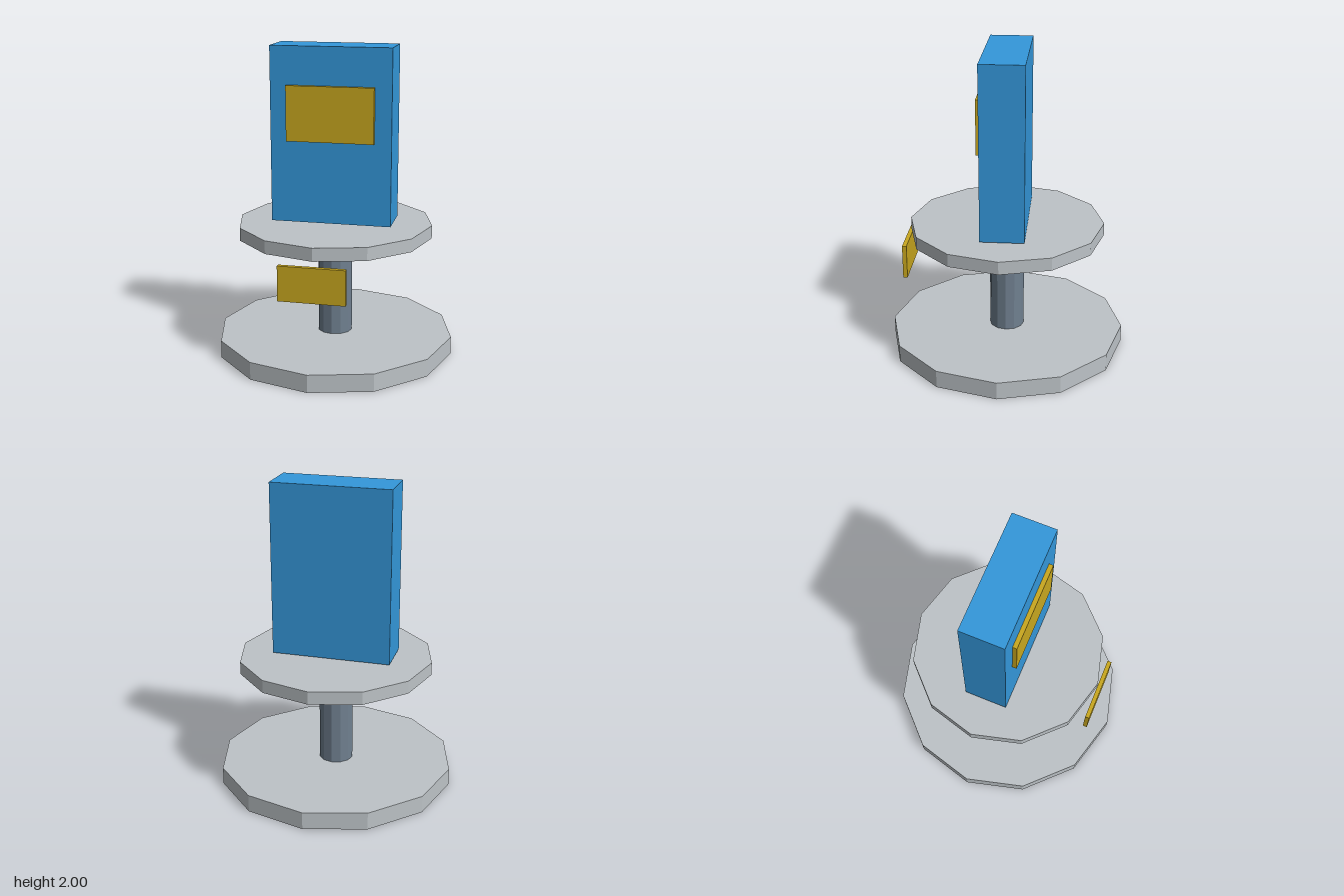
import * as THREE from 'three';

export function createModel() {
  const model = new THREE.Group();
  const material = (name, color) => {
    const m = new THREE.MeshStandardMaterial({ color });
    m.name = name;
    return m;
  };
  const paleGrey = material('pale grey', 0xbdc3c7);
  const slate = material('slate grey', 0x708090);
  const blue = material('blue', 0x3498db);
  const gold = material('gold', 0xc9a81f);

  const add = (name, geometry, mat, y, z = 0) => {
    const mesh = new THREE.Mesh(geometry, mat);
    mesh.name = name;
    mesh.position.set(0, y, z);
    model.add(mesh);
  };

  // Twelve-sided prism between two heights, with flat facets
  const disc = (name, radius, y0, y1, mat) => {
    const geometry = new THREE.CylinderGeometry(radius, radius, y1 - y0, 12).toNonIndexed();
    geometry.computeVertexNormals();
    add(name, geometry, mat, (y0 + y1) / 2);
  };

  // Box centred on x, given by width and its y and z ranges
  const block = (name, width, y0, y1, z0, z1, mat) =>
    add(name, new THREE.BoxGeometry(width, y1 - y0, z1 - z0), mat, (y0 + y1) / 2, (z0 + z1) / 2);

  // Stand
  disc('base', 0.775, 0, 0.115, paleGrey);
  disc('post', 0.113, 0.115, 0.78, slate);
  disc('platform', 0.633, 0.78, 0.864, paleGrey);

  // Upright slab, hovering just above the platform, with its front panel
  block('slab', 0.774, 0.878, 2, -0.14, 0.14, blue);
  block('frontPanel', 0.56, 1.406, 1.757, 0.14, 0.168, gold);

  // Small plaque in front of the post
  block('plaque', 0.42, 0.525, 0.748, 0.633, 0.661, gold);

  return model;
}
